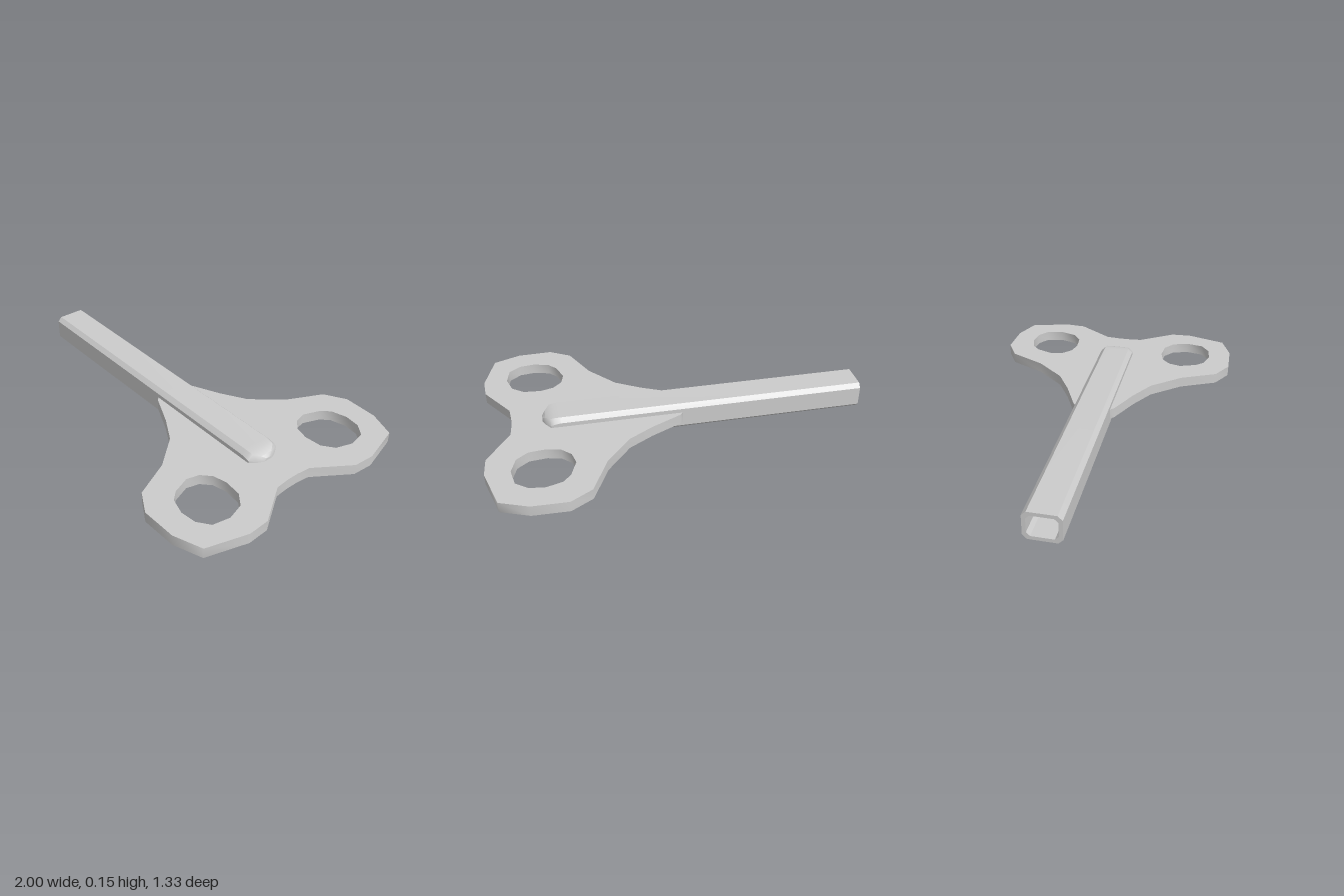
import * as THREE from 'three';
import { toCreasedNormals } from 'three/addons/utils/BufferGeometryUtils.js';

const grey = new THREE.MeshStandardMaterial({ color: 0xcccccc });
const MID_Y = 0.0735;

// Chamfered rectangle across the x axis: half width (z), half height (y), chamfer
function ring([x, w, h, c]) {
  return [
    [w, h - c], [w - c, h], [c - w, h], [-w, h - c],
    [-w, c - h], [c - w, -h], [w - c, -h], [w, c - h],
  ].map(([u, v]) => [x, MID_Y + v, -u]);
}

// Skin between successive rings; zero-size rings close the ends
function loft(sections) {
  const rings = sections.map(ring);
  const pos = [];
  for (let i = 0; i < rings.length - 1; i++) {
    for (let j = 0; j < 8; j++) {
      const k = (j + 1) % 8;
      const a = rings[i][j], b = rings[i][k], c = rings[i + 1][k], d = rings[i + 1][j];
      if (i > 0) pos.push(...a, ...b, ...c);
      if (i < rings.length - 2) pos.push(...a, ...c, ...d);
    }
  }
  const geo = new THREE.BufferGeometry();
  geo.setAttribute('position', new THREE.Float32BufferAttribute(pos, 3));
  return toCreasedNormals(geo, 0.75);
}

export function createModel() {
  const group = new THREE.Group();
  group.name = 'windUpKey';

  // Hollow shaft: bore floor, bore wall, rim, outer wall, rounded tip
  const shaft = new THREE.Mesh(loft([
    [-0.04, 0, 0, 0],
    [-0.04, 0.073, 0.055, 0.018],
    [-1, 0.073, 0.055, 0.018],
    [-1, 0.092, 0.0735, 0.022],
    [0.615, 0.092, 0.0735, 0.022],
    [0.645, 0.092, 0.071, 0.024],
    [0.665, 0.091, 0.067, 0.026],
    [0.69, 0.057, 0.056, 0.024],
    [0.705, 0.03, 0.043, 0.018],
    [0.705, 0, 0, 0],
  ]), grey);
  shaft.name = 'shaft';
  group.add(shaft);

  // Flat handle: half outline mirrored across the shaft, counter-clockwise
  const half = [
    [-0.02, 0.09], [0, 0.11], [0.16, 0.185], [0.29, 0.262], [0.42, 0.415],
    [0.51, 0.603], [0.62, 0.667], [0.8, 0.662], [0.94, 0.608], [1, 0.4],
    [0.993, 0.29], [0.87, 0.105], [0.863, 0.03],
  ];
  const mirror = pts => pts.map(([x, y]) => [x, -y]).reverse();
  const toVec = pts => pts.map(([x, y]) => new THREE.Vector2(x, y));
  const shape = new THREE.Shape(toVec([...half, ...mirror(half)].reverse()));

  // Finger holes
  const hole = [
    [0.6, 0.48], [0.64, 0.522], [0.72, 0.545], [0.8, 0.535], [0.86, 0.49], [0.877, 0.4],
    [0.85, 0.315], [0.79, 0.27], [0.7, 0.262], [0.63, 0.28], [0.583, 0.325], [0.567, 0.39],
  ];
  for (const pts of [hole, mirror(hole)]) shape.holes.push(new THREE.Path(toVec(pts)));

  const plate = new THREE.ExtrudeGeometry(shape, { depth: 0.056, bevelEnabled: false });
  plate.rotateX(-Math.PI / 2).translate(0, 0.047, 0);
  const handle = new THREE.Mesh(toCreasedNormals(plate, 1.1), grey);
  handle.name = 'handle';
  group.add(handle);

  return group;
}
